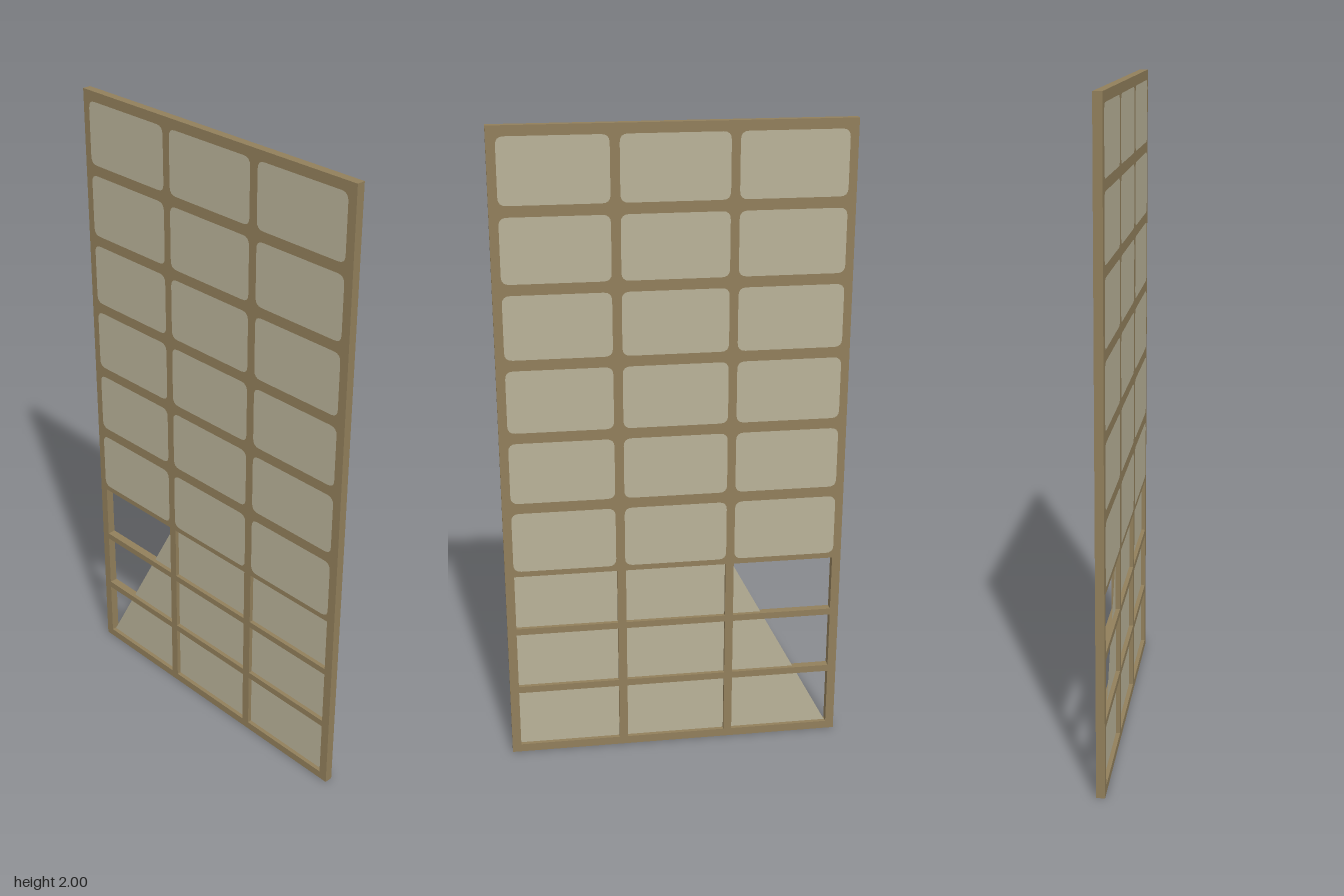
import * as THREE from 'three';

export function createModel() {
  const model = new THREE.Group();
  model.name = 'brokenWindowPanel';
  const wood = new THREE.MeshStandardMaterial({ color: 0x917f5b });
  wood.name = 'wood brown';
  const glass = new THREE.MeshStandardMaterial({ color: 0xb9b298, side: THREE.DoubleSide });
  glass.name = 'dusty glass';

  const halfWidth = 0.53, height = 2, depth = 0.026;
  const columns = [[-0.503, -0.186], [-0.16, 0.155], [0.182, 0.502]];
  const openRows = [[0.026, 0.215], [0.237, 0.422], [0.443, 0.624]];

  const polygon = (points) => points.map(([x, y]) => new THREE.Vector2(x, y));

  // Frame: solid flush upper part, open lattice below
  const outline = new THREE.Shape(polygon([
    [-halfWidth, 0], [halfWidth, 0], [halfWidth, height], [-halfWidth, height]]));
  for (const [x0, x1] of columns) {
    for (const [y0, y1] of openRows) {
      outline.holes.push(new THREE.Path(polygon([[x0, y0], [x0, y1], [x1, y1], [x1, y0]])));
    }
  }
  const frameGeometry = new THREE.ExtrudeGeometry(outline, { depth, bevelEnabled: false });
  frameGeometry.translate(0, 0, -depth / 2);
  const frame = new THREE.Mesh(frameGeometry, wood);
  frame.name = 'frame';
  model.add(frame);

  // Upper panes: rounded faces on both sides of the frame
  const roundedPane = (w, h, r) => {
    const x = w / 2, y = h / 2;
    const s = new THREE.Shape();
    s.moveTo(-x + r, -y);
    s.lineTo(x - r, -y).quadraticCurveTo(x, -y, x, -y + r);
    s.lineTo(x, y - r).quadraticCurveTo(x, y, x - r, y);
    s.lineTo(-x + r, y).quadraticCurveTo(-x, y, -x, y - r);
    s.lineTo(-x, -y + r).quadraticCurveTo(-x, -y, -x + r, -y);
    return new THREE.ShapeGeometry(s, 4);
  };
  const paneGeometry = roundedPane(0.318, 0.194, 0.024);
  const paneMaterial = new THREE.MeshStandardMaterial({ color: 0xb9b298 });
  paneMaterial.name = 'pane glass';
  const upperPanes = new THREE.Group();
  upperPanes.name = 'upperPanes';
  for (const x of [-0.346, -0.002, 0.344]) {
    for (let row = 0; row < 6; row++) {
      for (const side of [1, -1]) {
        const pane = new THREE.Mesh(paneGeometry, paneMaterial);
        pane.name = side > 0 ? 'frontPane' : 'backPane';
        pane.position.set(x, 0.739 + row * 0.2268, side * (depth / 2 + 0.001));
        if (side < 0) pane.rotation.y = Math.PI;
        upperPanes.add(pane);
      }
    }
  }
  model.add(upperPanes);

  // Lower glass sheet with the broken-off corner
  const sheet = new THREE.Mesh(new THREE.ShapeGeometry(new THREE.Shape(polygon([
    [-0.503, 0.022], [0.506, 0.022], [0.506, 0.628], [-0.178, 0.628]]))), glass);
  sheet.name = 'brokenGlass';
  model.add(sheet);

  return model;
}
